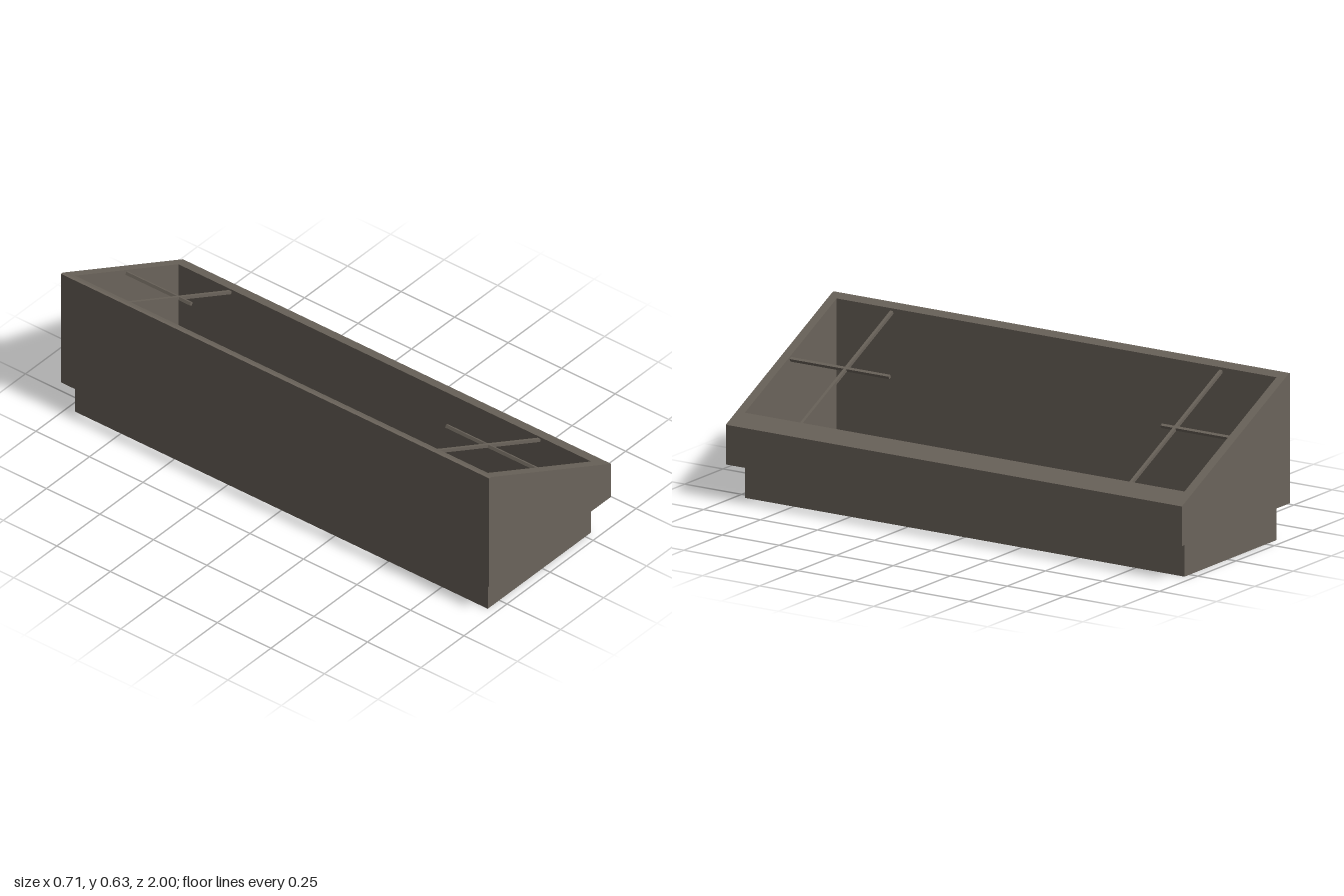
import * as THREE from 'three';

const OUT_X = 0.354, OUT_Z = 1;            // outer footprint
const IN_X0 = -0.317, IN_X1 = 0.283, IN_Z = 0.964; // opening
const LEDGE = 0.137, PEAK = 0.628, TIP_X = -0.343, LOW = 0.287;
const SLOPE = (PEAK - LOW) / (OUT_X - TIP_X);
const topAt = (x) => Math.min(PEAK, LOW + (OUT_X - x) * SLOPE);

export function createModel() {
  const model = new THREE.Group();
  model.name = 'slopedCurb';
  const metal = new THREE.MeshStandardMaterial({ color: 0x6b645b });
  metal.name = 'grey brown metal';
  metal.side = THREE.DoubleSide;

  const add = (name, geometry, x = 0, y = 0, z = 0) => {
    const mesh = new THREE.Mesh(geometry, metal);
    mesh.name = name;
    mesh.position.set(x, y, z);
    model.add(mesh);
    return mesh;
  };

  // Wall section between x0 and x1, cut by the slope and run along z
  const wall = (name, x0, x1, z0, z1) => {
    const points = [[x0, LEDGE], [x1, LEDGE], [x1, topAt(x1)]];
    if (x0 < TIP_X) points.push([TIP_X, PEAK]);
    points.push([x0, topAt(x0)]);
    const shape = new THREE.Shape(points.map(([x, y]) => new THREE.Vector2(x, y)));
    add(name, new THREE.ExtrudeGeometry(shape, { depth: z1 - z0, bevelEnabled: false }), 0, 0, z0);
  };
  wall('frontWall', -OUT_X, OUT_X, IN_Z, OUT_Z);
  wall('backWall', -OUT_X, OUT_X, -OUT_Z, -IN_Z);
  wall('highWall', -OUT_X, IN_X0, -IN_Z, IN_Z);
  wall('lowWall', IN_X1, OUT_X, -IN_Z, IN_Z);

  // Thin skirt below the ledge, open at the bottom
  const midX = (IN_X0 + IN_X1) / 2, spanX = IN_X1 - IN_X0;
  for (const s of [1, -1]) {
    add(s > 0 ? 'frontSkirt' : 'backSkirt',
      new THREE.PlaneGeometry(spanX, LEDGE), midX, LEDGE / 2, s * IN_Z).rotation.y = s > 0 ? 0 : Math.PI;
    add(s > 0 ? 'lowSkirt' : 'highSkirt',
      new THREE.PlaneGeometry(IN_Z * 2, LEDGE), s > 0 ? IN_X1 : IN_X0, LEDGE / 2, 0).rotation.y = s * Math.PI / 2;
  }

  // Slim bars just below the slope: one across and one stub at each end
  const BAR = 0.012, barY = topAt(midX) - 0.014, tilt = Math.atan(SLOPE);
  for (const [end, s, inner] of [['front', 1, 0.53], ['back', -1, 0.662]]) {
    add(end + 'CrossBar', new THREE.BoxGeometry(spanX / Math.cos(tilt), BAR, BAR),
      midX, barY, s * 0.722).rotation.z = -tilt;
    add(end + 'StubBar', new THREE.BoxGeometry(BAR, BAR, IN_Z - inner),
      midX, barY, s * (IN_Z + inner) / 2).rotation.z = -tilt;
  }
  return model;
}
